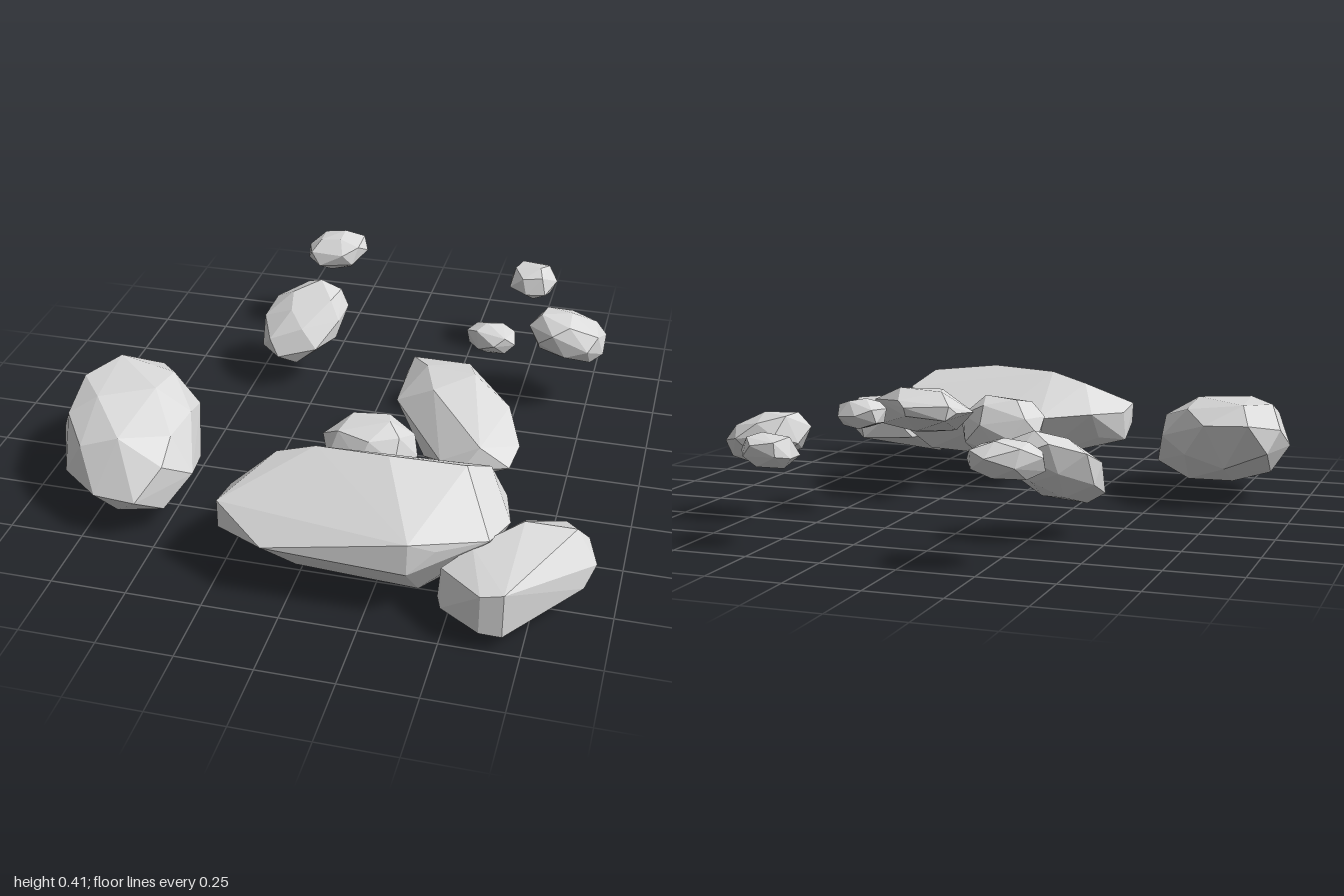
import * as THREE from 'three';
import { ConvexGeometry } from 'three/addons/geometries/ConvexGeometry.js';

const V = (x, y, z) => new THREE.Vector3(x, y, z);

// Small seeded random generator
function seeded(seed) {
  let s = seed * 7919 + 17;
  return () => (s = (s * 16807) % 2147483647) / 2147483647;
}

// Chipped ellipsoid filling the box [min..max]; lean = correlations [xy, xz, yz] that tilt its long axis
function boulderGeometry(min, max, lean, count, seed) {
  const rand = seeded(seed);
  rand();
  const [rxy, rxz, ryz] = lean;
  const l22 = Math.sqrt(1 - rxy * rxy);
  const l32 = (ryz - rxy * rxz) / l22;
  const l33 = Math.sqrt(Math.max(0.05, 1 - rxz * rxz - l32 * l32));
  const spin = new THREE.Euler(rand() * 6, rand() * 6, rand() * 6);
  const swell = (c) => Math.sign(c) * Math.abs(c) ** 0.9;
  const points = [];
  for (let i = 0; i < count; i++) {
    const h = 1 - (2 * (i + 0.5)) / count;
    const a = i * 2.39996 + (rand() - 0.5) * 0.4;
    const r = Math.sqrt(1 - h * h);
    const p = V(r * Math.cos(a), h, r * Math.sin(a)).applyEuler(spin);
    const k = 0.97 + rand() * 0.06;
    const [x, y, z] = [swell(p.x) * k, swell(p.y) * k, swell(p.z) * k];
    points.push(V(x, rxy * x + l22 * y, rxz * x + l32 * y + l33 * z));
  }
  // Fit to the box
  const box = new THREE.Box3().setFromPoints(points);
  const size = box.getSize(V(0, 0, 0));
  const lo = V(...min);
  const span = V(...max).sub(lo);
  points.forEach((p) => p.sub(box.min).divide(size).multiply(span).add(lo));
  return new ConvexGeometry(points);
}

// Corners of the three angular stones
const angular = {
  // Long ridged slab: left end, crest, back, right end, front, underside
  mainSlab: [
    [-0.255, 0.26, 0.8], [-0.25, 0.13, 0.7], [-0.25, 0.24, 0.67], [-0.245, 0.18, 0.825], [-0.17, 0.15, 0.6],
    [-0.11, 0.355, 0.62], [0.02, 0.395, 0.62], [0.26, 0.408, 0.64], [0.5, 0.385, 0.6], [0.56, 0.33, 0.5],
    [-0.166, 0.25, 0.515], [0.013, 0.24, 0.413], [0.2, 0.22, 0.36], [0.51, 0.25, 0.4], [0.61, 0.2, 0.46],
    [0.65, 0.22, 0.635], [0.61, 0.25, 0.79], [0.6, 0.12, 0.65],
    [0.46, 0.24, 0.87], [0.38, 0.27, 0.9], [0.38, 0.17, 0.915], [0.11, 0.23, 0.895], [-0.08, 0.19, 0.915],
    [0, 0.06, 0.8], [0.4, 0.055, 0.82], [0.05, 0.07, 0.5], [0.48, 0.09, 0.5], [0.2, 0.05, 0.65],
  ],
  // Low stone at the front corner
  frontBoulder: [
    [0.475, 0.1, 0.9], [0.478, 0.185, 0.87], [0.56, 0.23, 0.8], [0.49, 0.08, 0.93],
    [0.62, 0.19, 0.99], [0.62, 0.06, 0.995], [0.69, 0.2, 0.98], [0.69, 0.05, 0.985], [0.61, 0, 0.92],
    [0.7, 0.265, 0.68], [0.86, 0.25, 0.66], [0.93, 0.15, 0.69], [0.9, 0.09, 0.74],
    [0.895, 0.2, 0.625], [0.815, 0.2, 0.555], [0.8, 0.1, 0.565], [0.69, 0.2, 0.58], [0.62, 0.1, 0.64],
  ],
  // Flat stone sloping up toward the back
  slantedBoulder: [
    [0.168, 0.32, -0.045], [0.168, 0.3, 0.13], [0.19, 0.3, -0.1], [0.18, 0.35, -0.09],
    [0.345, 0.34, -0.105], [0.34, 0.31, -0.1], [0.38, 0.36, -0.07], [0.25, 0.385, 0.02], [0.42, 0.39, 0.05],
    [0.3, 0.375, 0.16], [0.555, 0.33, 0.13], [0.615, 0.27, 0.27], [0.6, 0.25, 0.38], [0.45, 0.24, 0.41],
    [0.37, 0.24, 0.375], [0.5, 0.31, 0.375], [0.24, 0.26, 0.215], [0.3, 0.2, 0.3], [0.45, 0.175, 0.36],
    [0.4, 0.215, 0.14], [0.58, 0.22, 0.25],
  ],
};

// name, min corner, max corner, lean, corner count
const boulders = [
  ['rightBoulder', [-0.935, 0.045, 0.08], [-0.43, 0.365, 0.735], [-0.2, 0.27, -0.3], 32],
  ['wedgedRock', [-0.035, 0.1, 0.21], [0.285, 0.335, 0.45], [0, 0, 0], 24],
  ['tiltedRock', [-0.475, 0.11, -0.62], [-0.18, 0.365, -0.315], [0.25, -0.3, -0.65], 24],
  ['backRightRock', [-0.425, 0.27, -1], [-0.195, 0.395, -0.795], [0.1, -0.15, -0.2], 20],
  ['backLeftRock', [0.39, 0.25, -0.955], [0.57, 0.365, -0.785], [0, 0, -0.2], 18],
  ['leftRock', [0.525, 0.2, -0.61], [0.8, 0.37, -0.4], [-0.3, -0.1, 0], 24],
  ['smallRock', [0.325, 0.295, -0.38], [0.505, 0.4, -0.225], [0, 0.15, 0], 18],
];

export function createModel() {
  const group = new THREE.Group();
  group.name = 'scatteredRocks';
  const stone = new THREE.MeshStandardMaterial({ color: 0xdadada });
  stone.name = 'paleStone';

  const add = (name, geometry) => {
    const mesh = new THREE.Mesh(geometry, stone);
    mesh.name = name;
    group.add(mesh);
  };

  Object.entries(angular).forEach(([name, corners]) =>
    add(name, new ConvexGeometry(corners.map((c) => V(...c)))));
  boulders.forEach(([name, min, max, lean, count], i) =>
    add(name, boulderGeometry(min, max, lean, count, i + 3)));
  return group;
}
